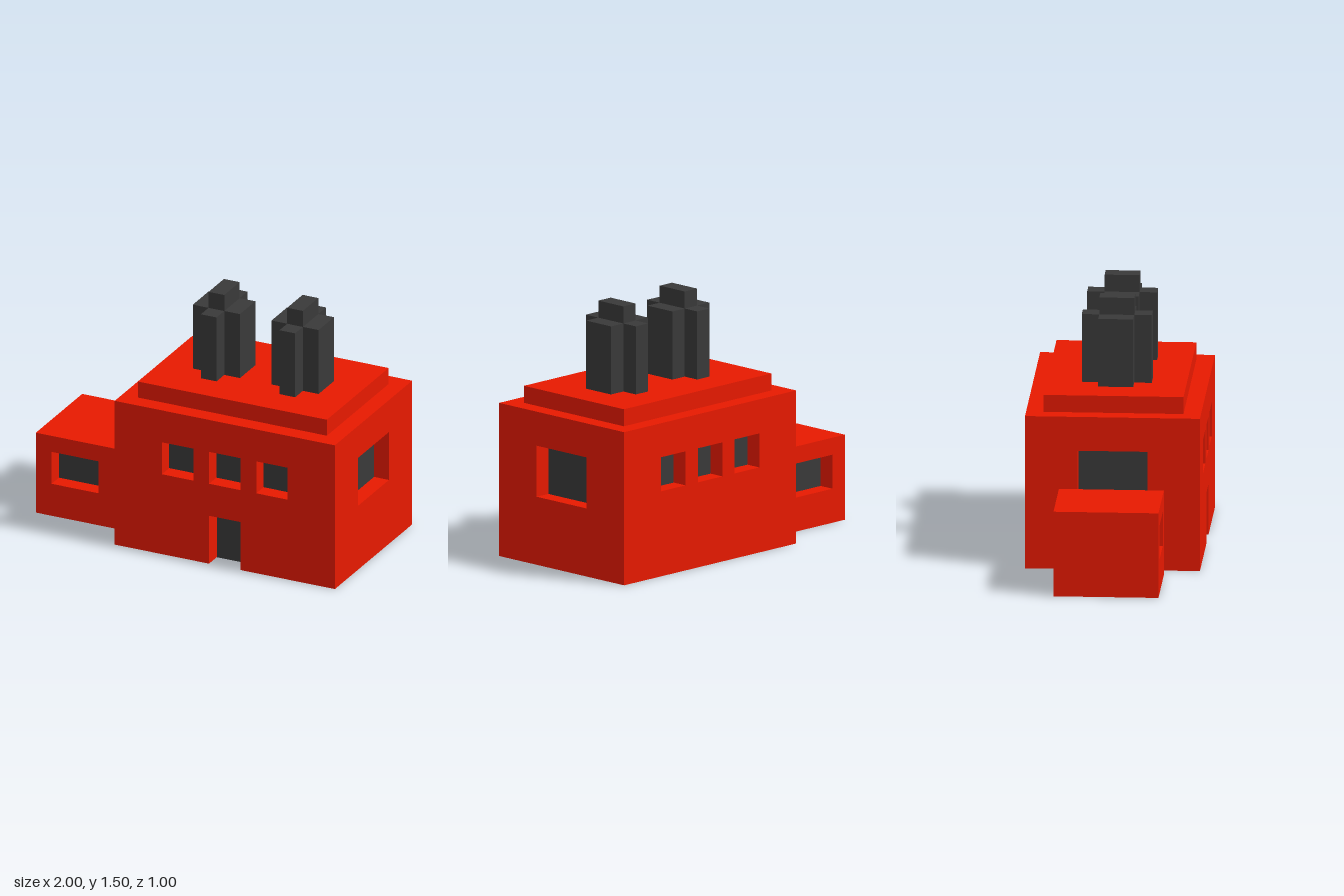
import * as THREE from 'three';

const brick = new THREE.MeshStandardMaterial({ color: 0xeb1a00 });
brick.name = 'brick red';
const soot = new THREE.MeshStandardMaterial({ color: 0x393939 });
soot.name = 'soot grey';

const WALL = 0.1; // wall thickness, also the depth of each opening
const PANE = 0.005;

// Box given by its minimum and maximum corners
function box(name, material, [x0, y0, z0], [x1, y1, z1]) {
  const mesh = new THREE.Mesh(new THREE.BoxGeometry(x1 - x0, y1 - y0, z1 - z0), material);
  mesh.position.set((x0 + x1) / 2, (y0 + y1) / 2, (z0 + z1) / 2);
  mesh.name = name;
  return mesh;
}

function outline(Type, points) {
  return new Type(points.map(p => new THREE.Vector2(...p)));
}

// Wall facing +z with recessed windows [x, y, w, h] and an optional doorway [w, h]
function wall(name, width, height, windows, doorway) {
  const group = new THREE.Group();
  group.name = name;
  const half = width / 2;
  const points = [[half, 0], [half, height], [-half, height], [-half, 0]];
  if (doorway) {
    const [w, h] = doorway;
    points.push([-w / 2, 0], [-w / 2, h], [w / 2, h], [w / 2, 0]);
  }
  const shape = outline(THREE.Shape, points);
  for (const [x, y, w, h] of windows) {
    const x0 = x - w / 2, x1 = x + w / 2;
    shape.holes.push(outline(THREE.Path, [[x0, y], [x1, y], [x1, y + h], [x0, y + h]]));
    group.add(box('windowPane', soot, [x0, y, 0], [x1, y + h, PANE]));
  }
  const geometry = new THREE.ExtrudeGeometry(shape, { depth: WALL, bevelEnabled: false });
  const mesh = new THREE.Mesh(geometry, brick);
  mesh.name = 'wallFace';
  group.add(mesh);
  return group;
}

function place(object, x, z, turn) {
  object.position.set(x, 0, z);
  object.rotation.y = turn;
  return object;
}

// Cross-shaped stack with a taller core
function chimney(x) {
  const group = new THREE.Group();
  group.name = 'chimney';
  group.add(box('chimneyCore', soot, [-0.05, 1, -0.1], [0.05, 1.5, 0.1]));
  for (const s of [-1, 1]) {
    const side = box('chimneySide', soot, [-0.05, 1, -0.1], [0.05, 1.4, 0.1]);
    side.position.x = s * 0.1;
    const end = box('chimneyEnd', soot, [-0.05, 1, -0.05], [0.05, 1.4, 0.05]);
    end.position.z = s * 0.15;
    group.add(side, end);
  }
  group.position.x = x;
  return group;
}

export function createModel() {
  const model = new THREE.Group();
  model.name = 'factory';

  // Main hall: solid core and door lining wrapped in four walls
  const hall = new THREE.Group();
  hall.name = 'mainHall';
  const row = [-0.3, 0, 0.3].map(x => [x, 0.5, 0.2, 0.2]);
  const sideWindow = [[0, 0.4, 0.4, 0.3]];
  const doorway = [0.2, 0.3];
  hall.add(
    box('hallCore', brick, [-0.3, 0, -0.4], [0.9, 0.9, 0.3]),
    place(wall('doorLining', 1.2, 0.9, [], doorway), 0.3, 0.3, 0),
    box('door', soot, [0.2, 0, 0.3], [0.4, 0.3, 0.4]),
    place(wall('frontWall', 1.4, 0.9, row, doorway), 0.3, 0.4, 0),
    place(wall('backWall', 1.4, 0.9, row), 0.3, -0.4, Math.PI),
    place(wall('leftWall', 0.8, 0.9, sideWindow), 0.9, 0, Math.PI / 2),
    place(wall('rightWall', 0.8, 0.9, sideWindow), -0.3, 0, -Math.PI / 2),
    box('roofStep', brick, [-0.3, 0.9, -0.4], [0.9, 1, 0.4]),
  );

  // Small detached annex with a window front and back
  const annex = new THREE.Group();
  annex.name = 'annex';
  const annexWindow = [[0, 0.2, 0.3, 0.2]];
  annex.add(
    box('annexCore', brick, [-1, 0, -0.2], [-0.5, 0.5, 0.2]),
    place(wall('annexFrontWall', 0.5, 0.5, annexWindow), -0.75, 0.2, 0),
    place(wall('annexBackWall', 0.5, 0.5, annexWindow), -0.75, -0.2, Math.PI),
  );

  model.add(hall, annex, chimney(0.05), chimney(0.55));
  return model;
}
